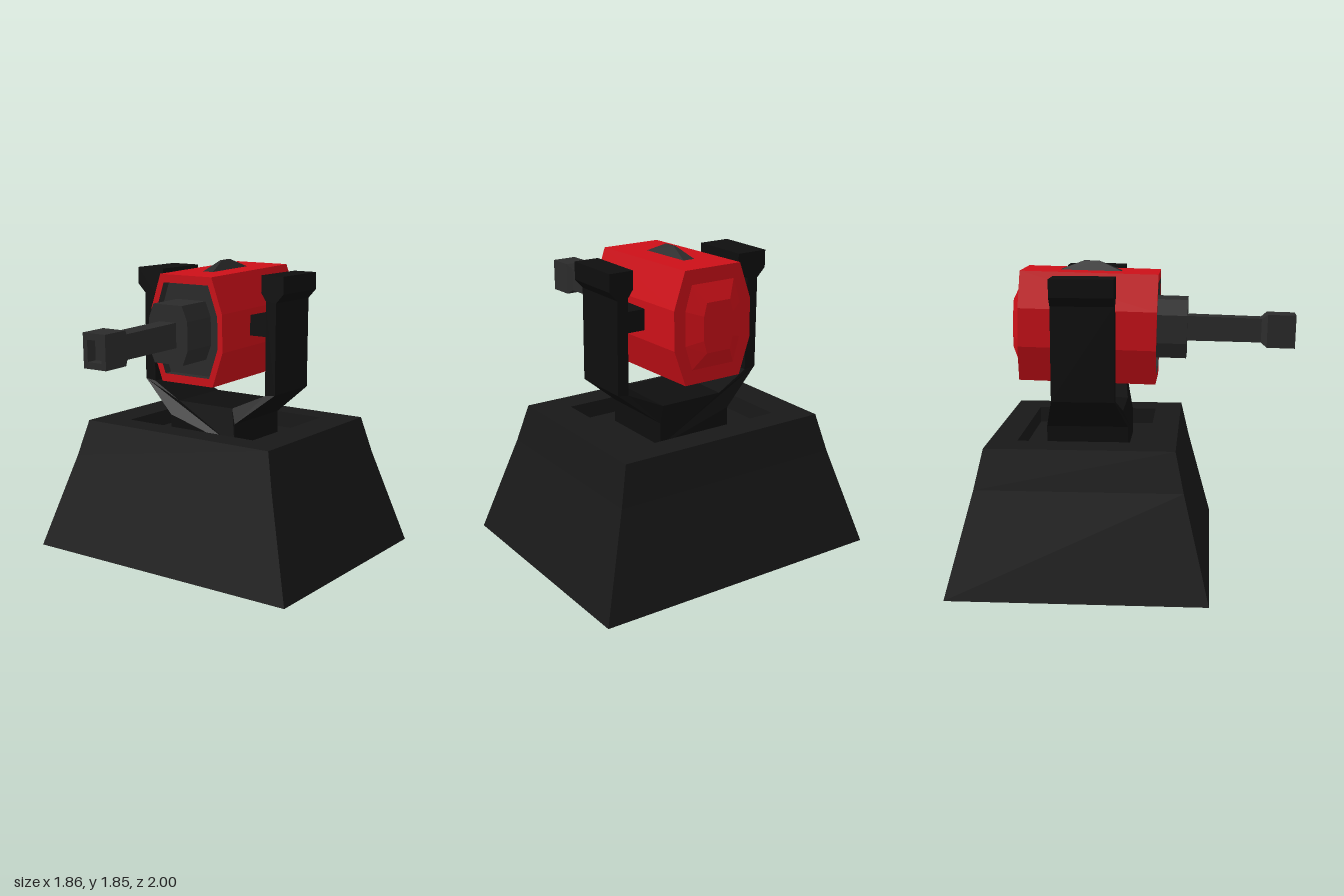
import * as THREE from 'three';

const paint = (color) => new THREE.MeshStandardMaterial({ color, flatShading: true });

// Convex outlines at depth z, counter-clockwise
const rect = (w, h, z) => [[w, -h, z], [w, h, z], [-w, h, z], [-w, -h, z]];
const octagon = (w, h, topW, midH, z) => [
  [topW, -h, z], [w, -midH, z], [w, midH, z], [topW, h, z],
  [-topW, h, z], [-w, midH, z], [-w, -midH, z], [-topW, -h, z],
];

// Skins a run of equal-count outlines along +z, with optional end caps
function loft(rings, capStart = true, capEnd = true) {
  const pos = [];
  const tri = (a, b, c) => pos.push(...a, ...b, ...c);
  const n = rings[0].length;
  for (let k = 0; k + 1 < rings.length; k++) {
    for (let i = 0; i < n; i++) {
      const j = (i + 1) % n;
      const [a, b, c, d] = [rings[k][i], rings[k][j], rings[k + 1][j], rings[k + 1][i]];
      tri(a, b, c);
      tri(a, c, d);
    }
  }
  const first = rings[0], last = rings[rings.length - 1];
  for (let i = 1; i + 1 < n; i++) {
    if (capStart) tri(first[0], first[i + 1], first[i]);
    if (capEnd) tri(last[0], last[i], last[i + 1]);
  }
  const geo = new THREE.BufferGeometry();
  geo.setAttribute('position', new THREE.Float32BufferAttribute(pos, 3));
  geo.computeVertexNormals();
  return geo;
}

export function createModel() {
  const model = new THREE.Group();
  const baseMat = paint(0x181818), yokeMat = paint(0x0e0e0e);
  const redMat = paint(0xcc1018), gunMat = paint(0x2b2b2b);

  const add = (parent, name, geo, mat, x = 0, y = 0, z = 0) => {
    const mesh = new THREE.Mesh(geo, mat);
    mesh.name = name;
    mesh.position.set(x, y, z);
    parent.add(mesh);
    return mesh;
  };

  // Tapered pedestal with a sunken well in its top
  const pedestal = loft([
    rect(0.928, 0.75, 0), rect(0.74, 0.6, 0.6), rect(0.68, 0.55, 0.83),
    rect(0.475, 0.385, 0.83), rect(0.475, 0.385, 0.73),
  ]);
  pedestal.rotateX(-Math.PI / 2);
  add(model, 'pedestal', pedestal, baseMat, 0, 0, -0.25);

  // Forked yoke: front outline, deepened towards its foot
  const outline = [
    [-0.555, 1.785], [-0.555, 1.68], [-0.5, 1.625], [-0.5, 1.07], [-0.25, 0.87], [-0.25, 0.73],
    [0.24, 0.73], [0.24, 0.87], [0.49, 1.07], [0.49, 1.625], [0.54, 1.68], [0.54, 1.785],
    [0.385, 1.785], [0.385, 1.68], [0.42, 1.63], [0.42, 1.06], [0.2, 0.96],
    [-0.21, 0.96], [-0.425, 1.06], [-0.425, 1.63], [-0.355, 1.68], [-0.355, 1.785],
  ].map(([x, y]) => new THREE.Vector2(x, y));
  const yoke = new THREE.ExtrudeGeometry(new THREE.Shape(outline), { depth: 1, bevelEnabled: false });
  const p = yoke.attributes.position;
  for (let i = 0; i < p.count; i++) {
    const flare = THREE.MathUtils.clamp((1.04 - p.getY(i)) / 0.17, 0, 1);
    p.setZ(i, (p.getZ(i) < 0.5 ? -1 : 1) * (0.185 + 0.06 * flare));
  }
  yoke.computeVertexNormals();
  add(model, 'yoke', yoke, yokeMat, 0, 0, -0.245);

  // Pivots between yoke arms and gun body
  for (const [side, name] of [[1, 'leftPivot'], [-1, 'rightPivot']]) {
    add(model, name, new THREE.BoxGeometry(0.2, 0.125, 0.24), yokeMat, side * 0.34, 1.47, -0.245);
  }

  // Gun, pitched slightly down about the pivots
  const gun = new THREE.Group();
  gun.name = 'gun';
  gun.position.set(0, 1.46, -0.245);
  gun.rotation.x = 0.024;
  model.add(gun);

  // Red housing with bevelled rear bulge and open front rim
  const rim = octagon(0.23, 0.28, 0.165, 0.095, 0.415);
  add(gun, 'housing', loft([
    octagon(0.1, 0.145, 0.08, 0.07, -0.465), octagon(0.19, 0.245, 0.145, 0.1, -0.412),
    octagon(0.265, 0.33, 0.19, 0.115, -0.412), octagon(0.265, 0.33, 0.19, 0.115, 0.415), rim,
  ], true, false), redMat);

  // Recessed face plate, breech, barrel, muzzle and bore
  const recess = 0.36;
  add(gun, 'facePlate', loft([rim, octagon(0.23, 0.28, 0.165, 0.095, recess)], false), gunMat);
  add(gun, 'breech', loft([
    octagon(0.143, 0.177, 0.105, 0.085, recess), octagon(0.143, 0.177, 0.105, 0.085, 0.593),
  ]), gunMat);
  add(gun, 'barrel', loft([
    rect(0.06, 0.075, 0.59), rect(0.06, 0.072, 1.04), rect(0.08, 0.1, 1.075),
    rect(0.08, 0.1, 1.245), rect(0.05, 0.062, 1.245), rect(0.05, 0.062, 1.18),
  ]), gunMat);

  // Ridge sight on top of the housing
  const sight = loft([rect(0.037, 0.185, 0.31), rect(0.037, 0.185, 0.33), rect(0.006, 0.045, 0.387)]);
  sight.rotateX(-Math.PI / 2);
  add(gun, 'sight', sight, gunMat);

  return model;
}
